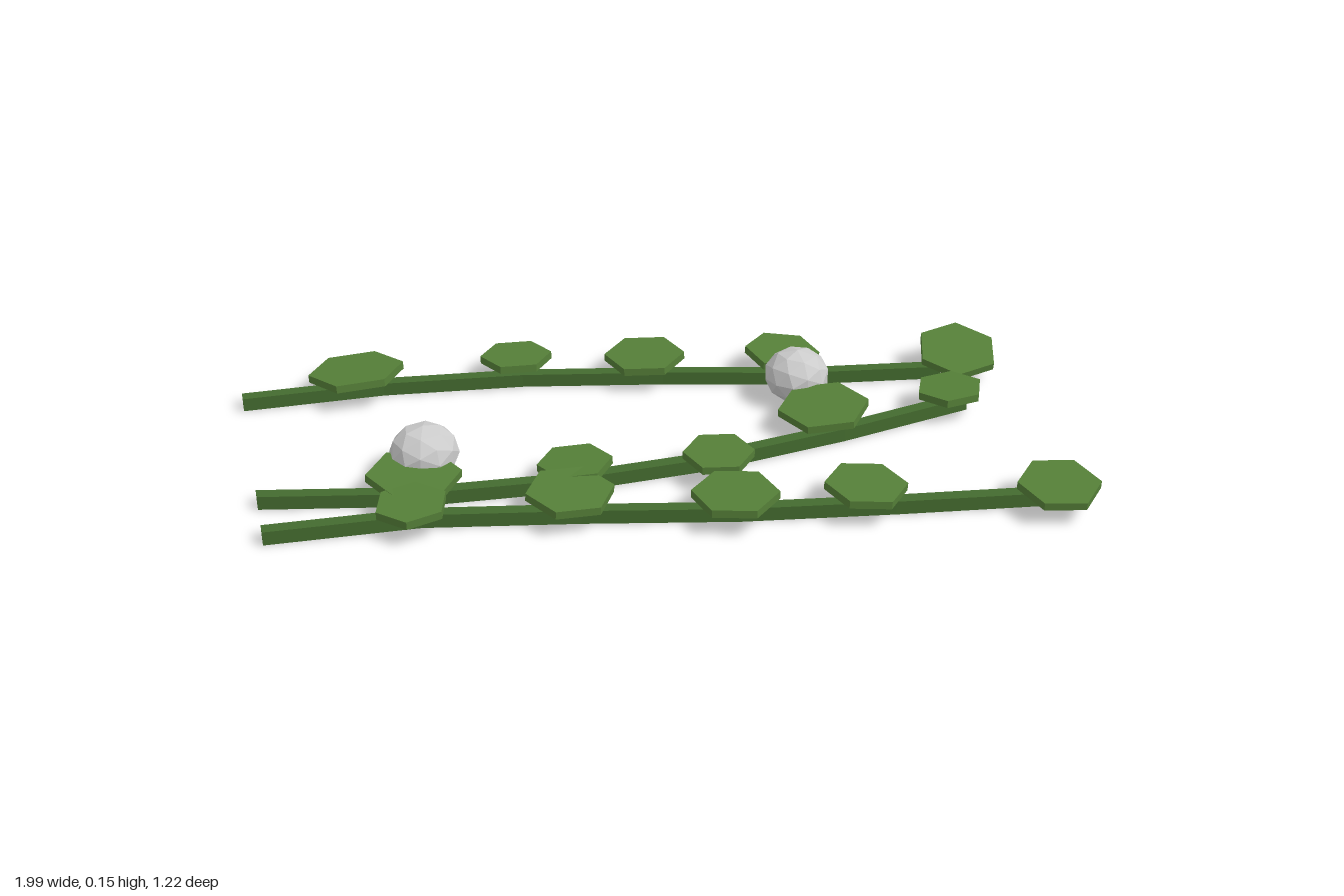
import * as THREE from 'three';

const stemMat = new THREE.MeshStandardMaterial({ color: 0x446b2f, flatShading: true });
const leafMat = new THREE.MeshStandardMaterial({ color: 0x557f38, flatShading: true });
const stoneMat = new THREE.MeshStandardMaterial({ color: 0xcccccc, flatShading: true });

const START = -1, STEP = 0.366, HALF = 0.017, HEIGHT = 0.035;

// Each vine: z of the stem at even steps in x, then leaves as
// [x, z, radius, turn in degrees, tilt about x, tilt about z]
const vines = [
  {
    name: 'backVine',
    path: [-0.49, -0.487, -0.445, -0.365, -0.27, -0.213],
    leaves: [
      [-0.70, -0.50, 0.125, 0, -0.1, 0.04], [-0.275, -0.48, 0.095, 6, -0.06, 0],
      [0.06, -0.40, 0.107, 14, 0, 0.03], [0.425, -0.33, 0.10, 17, 0.05, -0.06],
      [0.885, -0.22, 0.11, -12, 0.24, 0.03],
    ],
  },
  {
    name: 'middleVine',
    path: [0.025, 0.105, 0.13, 0.115, 0.055, -0.027],
    leaves: [
      [-0.63, 0.085, 0.115, 3, 0.03, -0.05], [-0.245, 0.125, 0.092, 6, -0.04, 0.04],
      [0.105, 0.165, 0.088, 12, 0.04, 0.02], [0.43, 0, 0.117, 8, 0.03, 0.08],
      [0.78, -0.015, 0.088, -5, -0.03, 0.05],
    ],
  },
  {
    name: 'frontVine',
    path: [0.19, 0.205, 0.28, 0.365, 0.425, 0.478],
    leaves: [
      [-0.655, 0.22, 0.088, -15, 0.03, 0.03], [-0.285, 0.255, 0.107, 0, 0.04, -0.03],
      [0.09, 0.36, 0.105, 18, 0, 0.02], [0.40, 0.40, 0.10, 12, 0.03, -0.04],
      [0.845, 0.51, 0.10, 14, 0.1, 0.03],
    ],
  },
];

// Square stem: a box divided along x, its columns shifted to follow the path
function makeStem(path) {
  const n = path.length - 1;
  const geo = new THREE.BoxGeometry(n * STEP, HEIGHT, HALF * 2, n, 1, 1);
  geo.translate(START + (n * STEP) / 2, HEIGHT / 2, 0);
  const pos = geo.attributes.position;
  for (let i = 0; i < pos.count; i++) {
    const k = Math.round((pos.getX(i) - START) / STEP);
    pos.setZ(i, pos.getZ(i) + path[k]);
  }
  geo.computeVertexNormals();
  const stem = new THREE.Mesh(geo, stemMat);
  stem.name = 'stem';
  return stem;
}

// Thin six-sided leaf pad
function makeLeaf([x, z, r, turn, tiltX, tiltZ]) {
  const geo = new THREE.CylinderGeometry(r, r, 0.02, 6, 1, false, Math.PI / 2);
  geo.rotateY(-THREE.MathUtils.degToRad(turn));
  const leaf = new THREE.Mesh(geo, leafMat);
  leaf.position.set(x, 0.064, z);
  leaf.rotation.set(tiltX, 0, tiltZ);
  leaf.name = 'leaf';
  return leaf;
}

// Faceted, slightly squashed pebble
function makeStone(x, z, turn) {
  const stone = new THREE.Mesh(new THREE.IcosahedronGeometry(0.086, 1), stoneMat);
  stone.position.set(x, 0.075, z);
  stone.scale.y = 0.83;
  stone.rotation.y = turn;
  stone.name = 'stone';
  return stone;
}

export function createModel() {
  const model = new THREE.Group();
  model.name = 'vines';
  for (const { name, path, leaves } of vines) {
    const vine = new THREE.Group();
    vine.name = name;
    vine.add(makeStem(path), ...leaves.map(makeLeaf));
    model.add(vine);
  }
  model.add(makeStone(-0.59, -0.008, 0.3), makeStone(0.415, -0.175, 0.6));
  return model;
}
